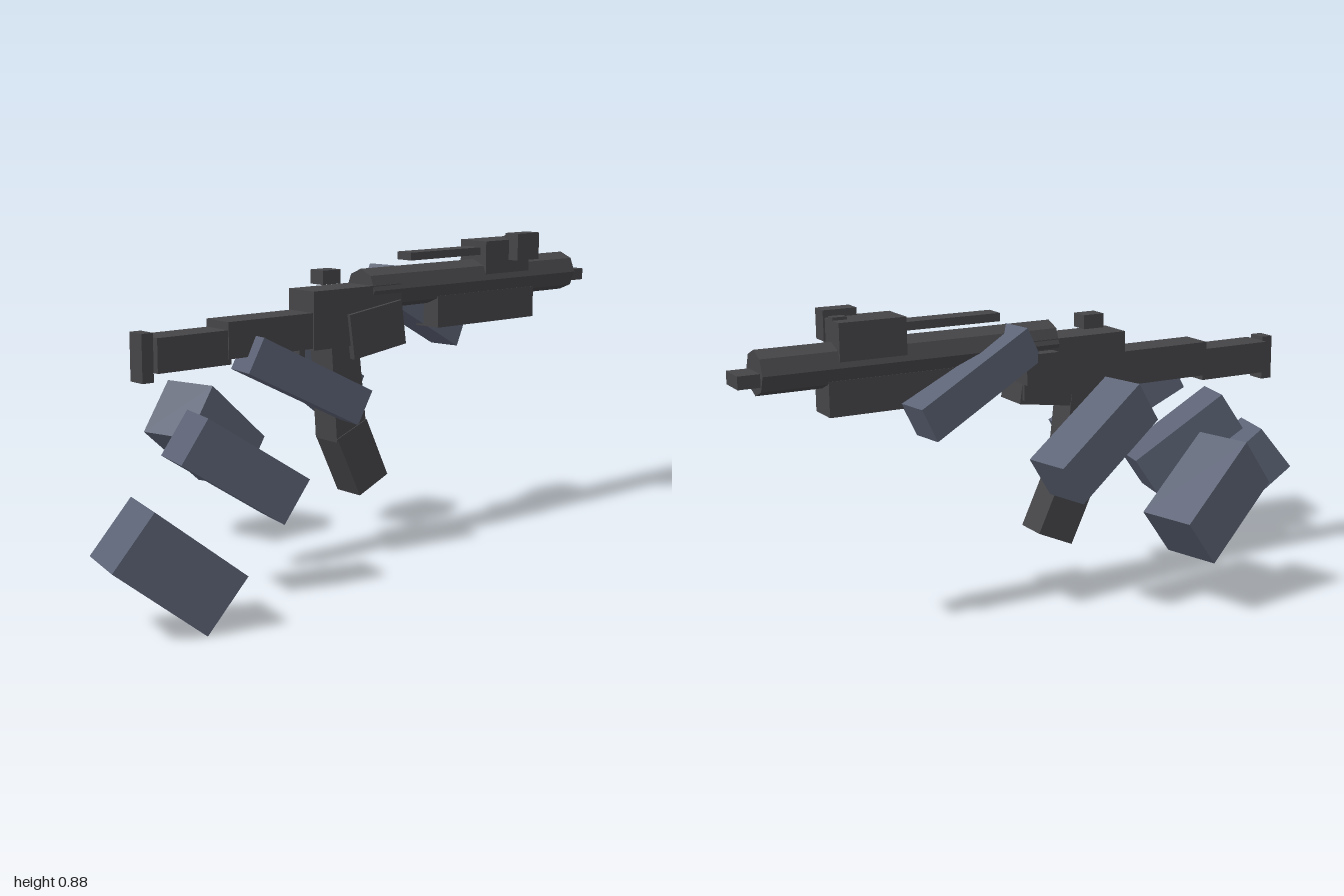
import * as THREE from 'three';

const steel = new THREE.MeshStandardMaterial({ color: 0x454447, flatShading: true });
const slate = new THREE.MeshStandardMaterial({ color: 0x5c6375, flatShading: true });

export function createModel() {
  const model = new THREE.Group();

  const add = (name, geometry, material = steel) => {
    const mesh = new THREE.Mesh(geometry, material);
    mesh.name = name;
    model.add(mesh);
    return mesh;
  };

  // Axis-aligned block given by its limits on each axis
  const block = (name, [x0, x1], [y0, y1], [z0, z1]) => {
    const mesh = add(name, new THREE.BoxGeometry(x1 - x0, y1 - y0, z1 - z0));
    mesh.position.set((x0 + x1) / 2, (y0 + y1) / 2, (z0 + z1) / 2);
    return mesh;
  };

  // Side profile of [z, y] points, extruded across x
  const plate = (name, points, width) => {
    const shape = new THREE.Shape(points.map(([z, y]) => new THREE.Vector2(-z, y)));
    const geometry = new THREE.ExtrudeGeometry(shape, { depth: width, bevelEnabled: false });
    geometry.translate(0, 0, -width / 2).rotateY(Math.PI / 2);
    return add(name, geometry);
  };

  // Stock and receiver
  block('buttPlate', [-0.028, 0.028], [0.56, 0.69], [0.655, 0.69]);
  block('stock', [-0.047, 0.047], [0.585, 0.678], [0.42, 0.655]);
  block('rearReceiver', [-0.05, 0.05], [0.6, 0.7], [0.14, 0.43]);
  block('receiver', [-0.055, 0.055], [0.595, 0.76], [-0.19, 0.14]);
  block('rearSight', [-0.027, 0.027], [0.772, 0.812], [0.02, 0.085]);
  block('trigger', [-0.015, 0.015], [0.555, 0.6], [0.14, 0.16]);
  block('sideLug', [-0.09, -0.045], [0.645, 0.73], [-0.2, -0.1]);
  const well = block('magazineWell', [-0.045, 0.066], [0.57, 0.7], [-0.19, 0.01]);
  well.rotation.x = 0.14;

  // Magazine in two angled sections
  plate('magazineUpper', [[0.07, 0.61], [0.05, 0.32], [-0.06, 0.36], [-0.03, 0.61]], 0.094);
  plate('magazineLower', [[0.05, 0.33], [-0.035, 0.152], [-0.142, 0.2], [-0.06, 0.375]], 0.1);

  // Barrel shroud, muzzle and fore-end
  const shroud = new THREE.CylinderGeometry(0.06, 0.06, 0.86, 8).rotateX(Math.PI / 2);
  add('barrelShroud', shroud).position.set(0, 0.745, -0.51);
  block('muzzle', [-0.042, 0.042], [0.715, 0.75], [-1, -0.94]);
  block('foreEnd', [-0.047, 0.047], [0.615, 0.71], [-0.76, -0.345]);

  // Front sight assembly above the shroud
  block('sightBase', [-0.055, 0.053], [0.76, 0.862], [-0.73, -0.54]);
  block('sideSight', [0.038, 0.09], [0.8, 0.882], [-0.735, -0.64]);
  block('sightPost', [-0.014, 0.014], [0.86, 0.87], [-0.73, -0.69]);
  block('topRod', [-0.03, 0.03], [0.82, 0.843], [-0.54, -0.25]);

  // Three floating slabs per side, growing stouter and steeper outward
  const slabs = [
    { size: [0.1, 0.105, 0.39], pitch: 27, yaw: 8, x: 0.066 },
    { size: [0.135, 0.136, 0.343], pitch: 33.5, yaw: 12, x: 0.183 },
    { size: [0.17, 0.174, 0.302], pitch: 38.5, yaw: 14, x: 0.31 },
  ];
  const sides = [
    { name: 'left', sign: 1, yz: [[0.52, 0.19], [0.341, 0.51], [0.163, 0.81]] },
    { name: 'right', sign: -1, yz: [[0.671, -0.355], [0.494, -0.04], [0.316, 0.254]] },
  ];
  for (const { name, sign, yz } of sides) {
    slabs.forEach(({ size, pitch, yaw, x }, i) => {
      const slab = add(`${name}Slab${i + 1}`, new THREE.BoxGeometry(...size), slate);
      slab.position.set(sign * x, ...yz[i]);
      slab.rotation.set(
        -THREE.MathUtils.degToRad(pitch), -sign * THREE.MathUtils.degToRad(yaw), 0, 'YXZ');
    });
  }

  return model;
}
